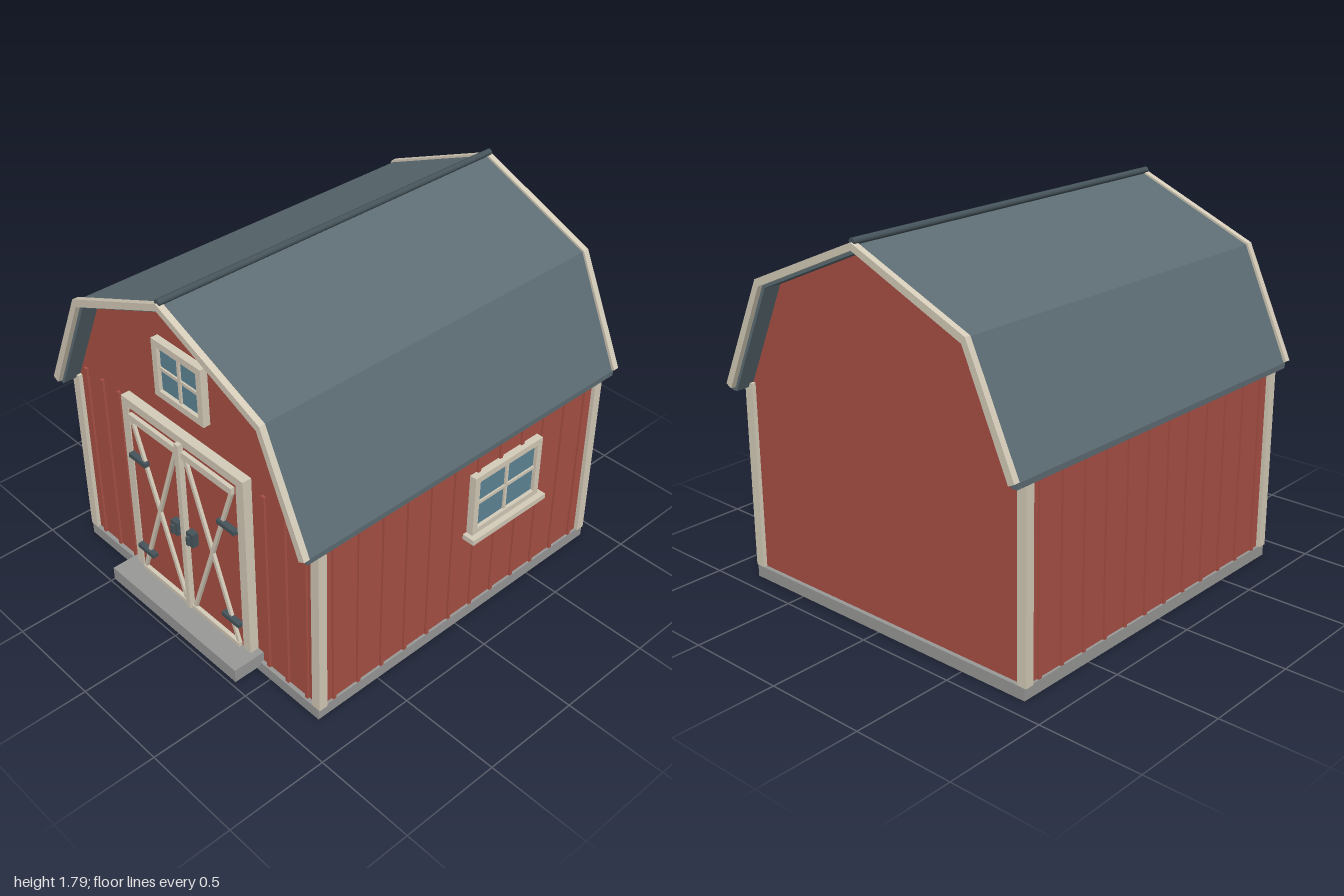
import * as THREE from 'three';

const mat = (name, color) => Object.assign(new THREE.MeshStandardMaterial({ color }), { name });

export function createModel() {
  const red = mat('barn red', 0xaa5145);
  const cream = mat('cream trim', 0xd6cdba);
  const slate = mat('slate roof', 0x5d6d74);
  const metal = mat('dark metal', 0x46545b);
  const glass = mat('window glass', 0x5f8799);
  const stone = mat('grey concrete', 0x999a98);

  const model = new THREE.Group();
  model.name = 'barn';
  const body = new THREE.Group();
  body.name = 'building';
  body.position.set(-0.015, 0, -0.0275);
  model.add(body);

  // Box given by its minimum and maximum on each axis
  function box(parent, name, material, x0, x1, y0, y1, z0, z1) {
    const mesh = new THREE.Mesh(new THREE.BoxGeometry(x1 - x0, y1 - y0, z1 - z0), material);
    mesh.position.set((x0 + x1) / 2, (y0 + y1) / 2, (z0 + z1) / 2);
    mesh.name = name;
    parent.add(mesh);
    return mesh;
  }

  // Half profile from eave to peak, mirrored to the whole span
  const span = (half) => [
    ...half.map(([x, y]) => [-x, y]),
    ...half.slice(0, -1).reverse(),
  ];
  function extrude(name, material, points, z0, z1) {
    const shape = new THREE.Shape(points.map(([x, y]) => new THREE.Vector2(x, y)));
    const geo = new THREE.ExtrudeGeometry(shape, { depth: z1 - z0, bevelEnabled: false });
    const mesh = new THREE.Mesh(geo, material);
    mesh.position.z = z0;
    mesh.name = name;
    body.add(mesh);
  }
  const band = (outer, inner) => [...span(outer), ...span(inner).reverse()];

  // Foundation, doorstep and walls
  box(body, 'foundation', stone, -0.832, 0.832, 0, 0.058, -0.8825, 0.8825);
  box(body, 'doorstep', stone, -0.45, 0.45, 0.037, 0.107, 0.86, 1.0275);
  extrude('walls', red, span([[0.82, 0.056], [0.82, 0.95], [0.585, 1.485], [0, 1.74]]), -0.862, 0.862);

  // Gambrel roof, rake boards, eaves and ridge
  extrude('roof', slate, band(
    [[0.848, 0.968], [0.605, 1.5], [0, 1.758]],
    [[0.816, 0.952], [0.578, 1.47], [0, 1.72]]), -0.9475, 0.9475);
  for (const z of [-0.9725, 0.9425]) {
    extrude('rakeBoard', cream, band(
      [[0.858, 0.982], [0.613, 1.508], [0, 1.768]],
      [[0.826, 0.966], [0.593, 1.478], [0, 1.735]]), z, z + 0.03);
  }
  for (const s of [-1, 1]) {
    const eave = box(body, 'eaveEdge', slate, -0.014, 0.014, 0.948, 0.975, -0.9475, 0.9475);
    eave.position.x = s * 0.835;
  }
  const ridge = new THREE.Mesh(new THREE.CylinderGeometry(0.016, 0.016, 1.93, 12), metal);
  ridge.name = 'ridgeCap';
  ridge.rotation.x = Math.PI / 2;
  ridge.position.y = 1.77;
  body.add(ridge);

  // Corner boards and battens
  for (const s of [-1, 1]) {
    for (const t of [-1, 1]) {
      const post = box(body, 'cornerBoard', cream, -0.024, 0.024, 0.058, 0.972, -0.0225, 0.0225);
      post.position.x = s * 0.816;
      post.position.z = t * 0.86;
    }
    for (let i = 0; i < 12; i++) {
      const batten = box(body, 'sideBatten', red, -0.008, 0.008, 0.058, 0.95, -0.009, 0.009);
      batten.position.x = s * 0.823;
      batten.position.z = -0.784 + i * 0.14255;
    }
    for (let i = 0; i < 3; i++) {
      const x = s * (0.493 + i * 0.125);
      box(body, 'frontBatten', red, x - 0.009, x + 0.009, 0.058, 1.036, 0.855, 0.873);
    }
  }

  // Four-pane window facing +z, origin at its centre on the wall
  function windowUnit(name, w, h, border) {
    const g = new THREE.Group();
    g.name = name;
    const x = w / 2, y = h / 2, b = border;
    box(g, 'pane', glass, -x + b / 2, x - b / 2, -y + b / 2, y - b / 2, 0, 0.018);
    for (const s of [-1, 1]) {
      box(g, 'frameSide', cream, -b / 2, b / 2, -y, y, 0, 0.036).position.x = s * (x - b / 2);
      box(g, 'frameRail', cream, -x + b, x - b, -b / 2, b / 2, 0, 0.036).position.y = s * (y - b / 2);
    }
    box(g, 'mullion', cream, -0.008, 0.008, -y + b, y - b, 0, 0.027);
    box(g, 'crossBar', cream, -x + b, x - b, -0.008, 0.008, 0, 0.026);
    body.add(g);
    return g;
  }
  windowUnit('gableWindow', 0.325, 0.287, 0.033).position.set(0, 1.356, 0.862);
  const side = windowUnit('sideWindow', 0.44, 0.325, 0.031);
  side.position.set(0.82, 0.6825, -0.2425);
  side.rotation.y = Math.PI / 2;
  box(side, 'sill', cream, -0.242, 0.242, -0.1875, -0.16, 0, 0.065);

  // Door surround
  for (const s of [-1, 1]) {
    box(body, 'doorJamb', cream, -0.024, 0.024, 0.107, 1.038, 0.86, 0.908).position.x = s * 0.391;
  }
  box(body, 'doorHead', cream, -0.415, 0.415, 1.038, 1.08, 0.86, 0.908);
  box(body, 'centreStrip', cream, -0.014, 0.014, 0.107, 1.05, 0.86, 0.93);

  // Two door leaves with rails, cross braces, hinges and handles
  for (const s of [-1, 1]) {
    const leaf = new THREE.Group();
    leaf.name = s > 0 ? 'leftDoor' : 'rightDoor';
    body.add(leaf);
    const part = (name, m, x0, x1, y0, y1, z0, z1) =>
      s > 0 ? box(leaf, name, m, x0, x1, y0, y1, z0, z1) : box(leaf, name, m, -x1, -x0, y0, y1, z0, z1);
    part('doorPanel', red, 0.005, 0.367, 0.107, 1.038, 0.86, 0.902);
    part('topRail', cream, 0.02, 0.352, 0.983, 1.018, 0.9, 0.922);
    part('bottomRail', cream, 0.02, 0.352, 0.108, 0.13, 0.9, 0.922);
    const dx = 0.31, dy = 0.86;
    for (const t of [-1, 1]) {
      const brace = box(leaf, 'crossBrace', cream, -0.009, 0.009, -0.457, 0.457, 0.9, 0.917);
      brace.position.x = s * 0.187;
      brace.position.y = 0.556;
      brace.rotation.z = t * Math.atan2(dx, dy);
    }
    for (const y of [0.247, 0.785]) {
      part('hinge', metal, 0.25, 0.366, y - 0.011, y + 0.011, 0.9, 0.93);
    }
    part('handlePlate', metal, 0.033, 0.077, 0.519, 0.592, 0.9, 0.935);
    part('handleGrip', metal, 0.047, 0.063, 0.533, 0.578, 0.93, 0.95);
  }
  return model;
}
